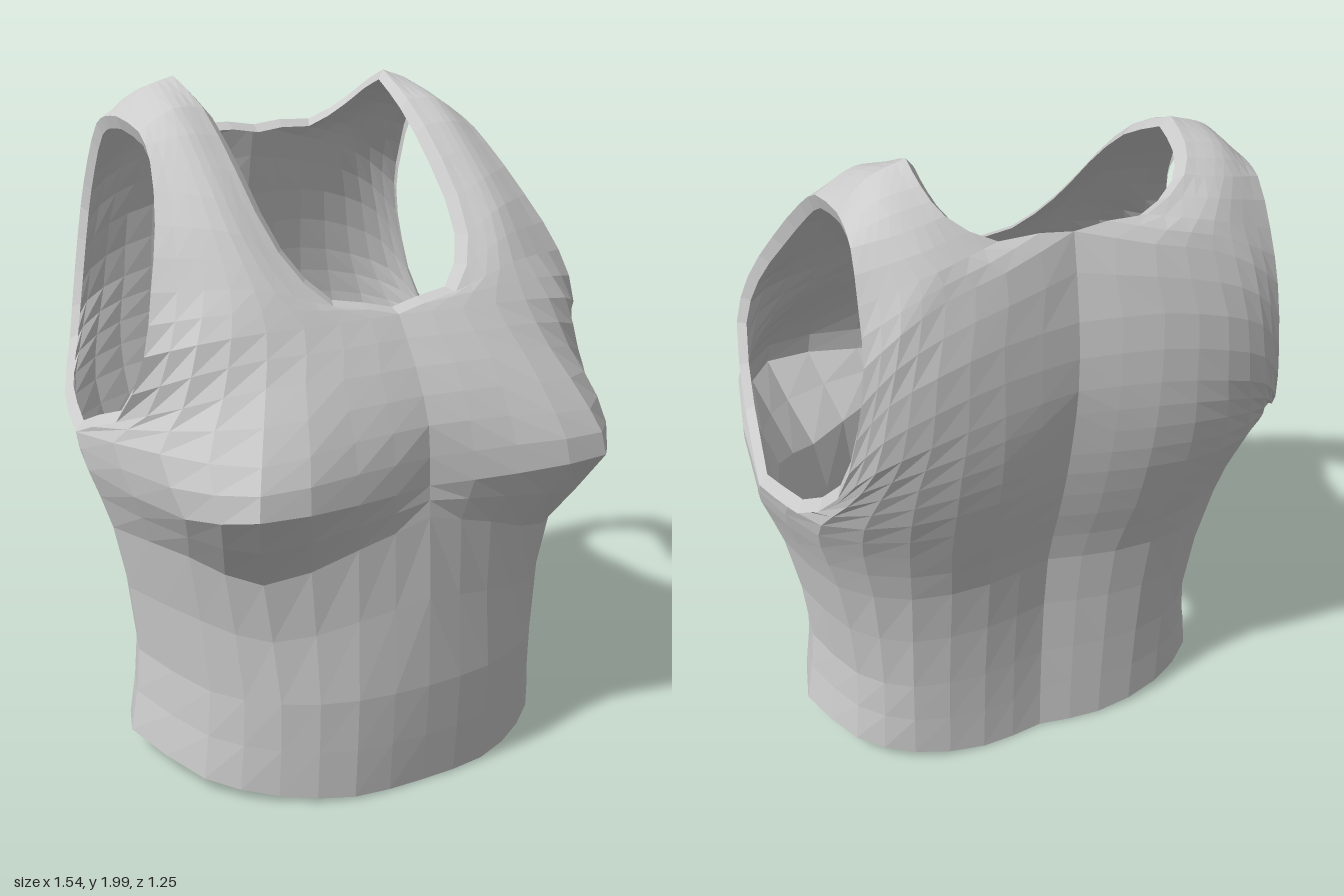
import * as THREE from 'three';

const material = new THREE.MeshStandardMaterial({ color: 0xcccccc, flatShading: true, side: THREE.DoubleSide });

// Cross-sections of the left half, each running from the middle (or neckline) to the side (or armhole).
const waistFront = [
  [[0, .01, .53], [.22, .015, .52], [.42, .03, .43], [.58, .05, .27], [.675, .08, -.05]],
  [[0, .33, .56], [.22, .33, .54], [.42, .33, .45], [.56, .33, .28], [.64, .34, -.05]],
  [[0, .84, .545], [.22, .78, .53], [.47, .70, .45], [.62, .76, .30], [.70, .74, -.06]],
  [[0, .93, .54], [.26, .94, .60], [.56, .95, .615], [.68, .92, .42], [.76, .92, -.08]],
];
const chest = [
  [[0, 1.1, .53], [.25, 1.1, .56], [.53, 1.08, .57], [.71, 1.08, .34], [.77, 1.02, -.14]],
  [[0, 1.25, .46], [.24, 1.25, .48], [.46, 1.25, .46], [.65, 1.2, .36], [.74, 1.11, .11]],
  [[0, 1.38, .37], [.2, 1.38, .39], [.42, 1.38, .39], [.60, 1.36, .35], [.71, 1.32, .255]],
];
const frontStrap = [
  [[.2, 1.42, .355], [.42, 1.48, .325], [.67, 1.48, .22]],
  [[.31, 1.56, .25], [.44, 1.62, .215], [.61, 1.64, .12]],
  [[.34, 1.76, .06], [.44, 1.78, .05], [.56, 1.79, -.02]],
  [[.345, 1.92, -.14], [.44, 1.92, -.13], [.545, 1.86, -.13]],
];
const shoulder = [[[.36, 2, -.31], [.46, 1.965, -.31], [.54, 1.89, -.31]]];
const waistBack = [
  [[0, .01, -.38], [.2, .01, -.40], [.42, .04, -.37], [.58, .07, -.27], [.675, .08, -.05]],
  [[0, .33, -.38], [.2, .33, -.41], [.42, .33, -.38], [.56, .33, -.26], [.64, .34, -.05]],
  [[0, .72, -.41], [.2, .72, -.45], [.43, .72, -.43], [.61, .73, -.31], [.70, .74, -.06]],
  [[0, .92, -.47], [.22, .92, -.515], [.45, .92, -.49], [.66, .92, -.35], [.76, .92, -.08]],
];
const upperBack = [
  [[0, 1.1, -.52], [.22, 1.1, -.57], [.46, 1.08, -.55], [.67, 1.05, -.42], [.77, 1.02, -.14]],
  [[0, 1.25, -.55], [.22, 1.25, -.60], [.45, 1.22, -.59], [.62, 1.16, -.51], [.72, 1.07, -.37]],
  [[0, 1.4, -.57], [.22, 1.4, -.61], [.42, 1.36, -.615], [.56, 1.3, -.585], [.645, 1.2, -.52]],
  [[0, 1.6, -.56], [.22, 1.6, -.60], [.40, 1.56, -.615], [.52, 1.5, -.60], [.60, 1.4, -.57]],
  [[0, 1.83, -.51], [.2, 1.78, -.56], [.36, 1.74, -.575], [.48, 1.68, -.585], [.57, 1.6, -.57]],
];
const backStrap = [
  [[.2, 1.84, -.51], [.37, 1.81, -.55], [.56, 1.74, -.52]],
  [[.32, 1.91, -.47], [.43, 1.89, -.48], [.55, 1.86, -.45]],
  [[.355, 1.965, -.40], [.46, 1.945, -.40], [.545, 1.885, -.39]],
];

const ACROSS = 8, STEPS = 2;
const curve = (points) => new THREE.CatmullRomCurve3(points);

// Loft a smooth grid of points through the cross-sections.
function loft(sections) {
  const rows = sections.map((s) => {
    const c = curve(s.map((p) => new THREE.Vector3(...p)));
    return Array.from({ length: ACROSS + 1 }, (_, u) => c.getPoint(u / ACROSS));
  });
  const columns = rows[0].map((_, u) => curve(rows.map((r) => r[u])));
  const n = (sections.length - 1) * STEPS;
  return Array.from({ length: n + 1 }, (_, v) => columns.map((c) => {
    const p = c.getPoint(v / n);
    p.x = Math.max(0, p.x);
    return p;
  }));
}

// Skin a grid of points; side -1 mirrors it, flip turns the faces over.
function skin(name, grid, side, flip) {
  const w = grid[0].length, index = [];
  const positions = grid.flat().flatMap((p) => [p.x * side, p.y, p.z]);
  for (let v = 0; v < grid.length - 1; v++) {
    for (let u = 0; u < w - 1; u++) {
      const a = v * w + u, b = a + 1, c = a + w, d = c + 1;
      if (flip !== (side < 0)) index.push(a, c, b, b, c, d);
      else index.push(a, b, c, b, d, c);
    }
  }
  const g = new THREE.BufferGeometry();
  g.setAttribute('position', new THREE.Float32BufferAttribute(positions, 3));
  g.setIndex(index);
  g.computeVertexNormals();
  const mesh = new THREE.Mesh(g, material);
  mesh.name = name;
  return mesh;
}

// A narrow folded edge turning from an opening's rim towards the opening's centre.
function binding(edge, centre) {
  return edge.map((p) => [p, p.clone().add(centre.clone().sub(p).setLength(0.04))]);
}

export function createModel() {
  const group = new THREE.Group();
  group.name = 'tankTop';
  const armCentre = new THREE.Vector3(0.42, 1.45, -0.15);
  const neckCentre = new THREE.Vector3(0, 1.55, -0.1);
  const panels = [
    { name: 'front', sections: [...waistFront, ...chest, ...frontStrap, ...shoulder], neckRow: 6, flip: false },
    { name: 'back', sections: [...waistBack, ...upperBack, ...backStrap, ...shoulder], neckRow: 8, flip: true },
  ];
  for (const { name, sections, neckRow, flip } of panels) {
    const grid = loft(sections);
    const neck = binding(grid.slice(neckRow * STEPS).map((r) => r[0]), neckCentre);
    const arm = binding(grid.slice(4 * STEPS).map((r) => r[ACROSS]), armCentre);
    for (const side of [1, -1]) {
      const label = side > 0 ? 'Left' : 'Right';
      group.add(
        skin(`${name}Panel${label}`, grid, side, flip),
        skin(`${name}NeckBinding${label}`, neck, side, !flip),
        skin(`${name}ArmholeBinding${label}`, arm, side, flip),
      );
    }
  }
  return group;
}
